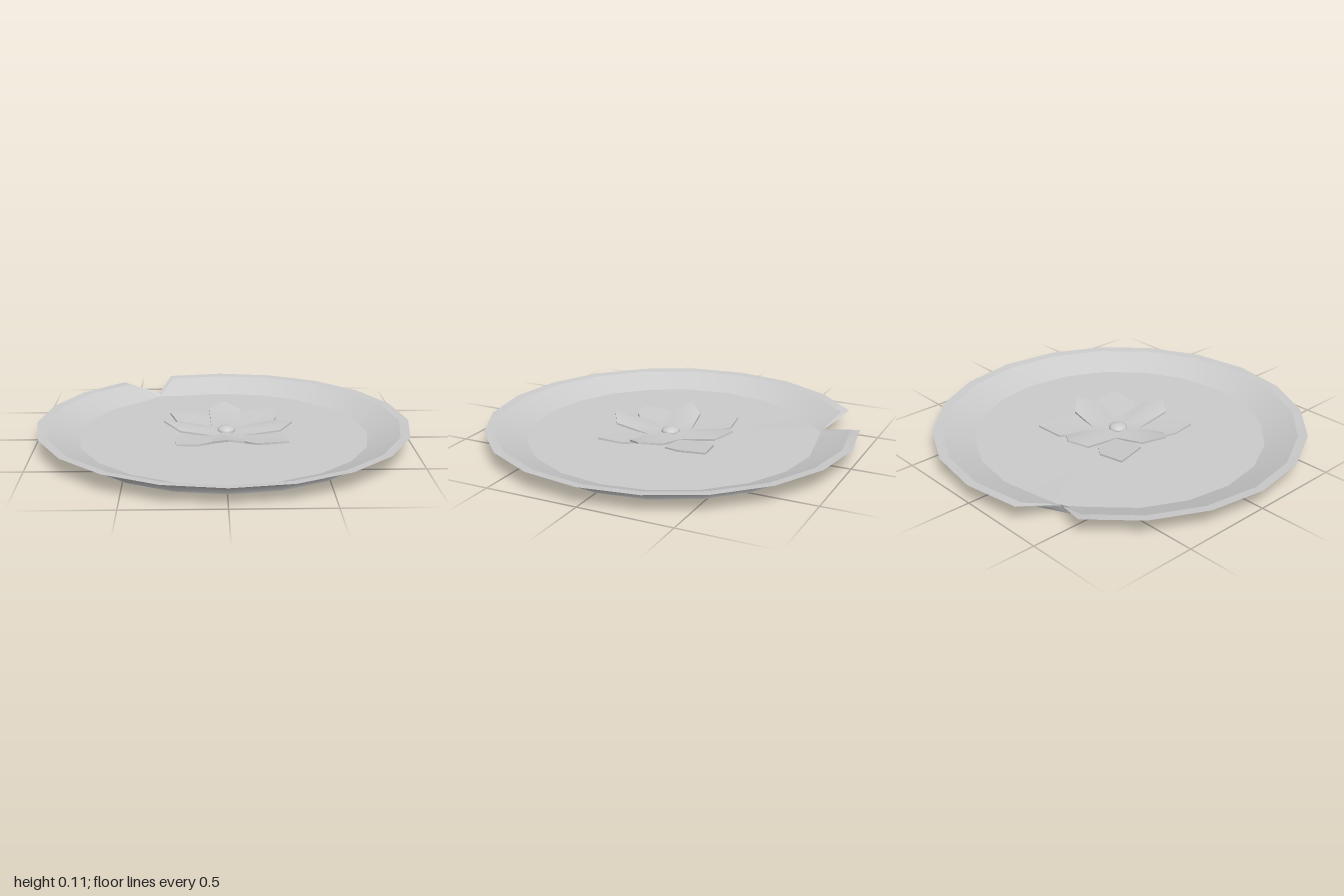
import * as THREE from 'three';
import { toCreasedNormals } from 'three/addons/utils/BufferGeometryUtils.js';

const SIDES = 20;
const CHIP = 13.5; // chip sits halfway along this edge of the rim

function makeMesh(name, positions, crease) {
  const geo = new THREE.BufferGeometry();
  geo.setAttribute('position', new THREE.Float32BufferAttribute(positions, 3));
  const mesh = new THREE.Mesh(
    toCreasedNormals(geo, crease),
    new THREE.MeshStandardMaterial({ color: 0xcccccc })
  );
  mesh.name = name;
  return mesh;
}

// Ring surface through rows of [radius, y, radius at chip, y at chip]
function ringSurface(name, rows, crease) {
  const steps = [];
  for (let i = 0; i < SIDES; i++) {
    steps.push(i);
    if (i === Math.floor(CHIP)) steps.push(CHIP);
  }
  const point = ([r, y, chipR, chipY], step) => {
    const a = (step / SIDES) * Math.PI * 2;
    const chipped = step === CHIP;
    const radius = chipped ? chipR : r;
    return [Math.cos(a) * radius, chipped ? chipY : y, Math.sin(a) * radius];
  };
  const out = [];
  for (let k = 0; k + 1 < rows.length; k++) {
    steps.forEach((s, i) => {
      const next = steps[(i + 1) % steps.length];
      const a = point(rows[k], s), b = point(rows[k], next);
      const c = point(rows[k + 1], s), d = point(rows[k + 1], next);
      if (rows[k][0] > 0) out.push(...a, ...b, ...c);
      if (rows[k + 1][0] > 0) out.push(...b, ...d, ...c);
    });
  }
  return makeMesh(name, out, crease);
}

// Thin closed leaf: a fan from the centre over an outline of [x, y, z],
// listed clockwise as seen from above
function leaf(name, centre, outline, thickness) {
  const out = [];
  const low = ([x, y, z]) => [x, y - thickness, z];
  outline.forEach((p, i) => {
    const q = outline[(i + 1) % outline.length];
    out.push(...centre, ...q, ...p);
    out.push(...low(centre), ...low(p), ...low(q));
    out.push(...p, ...q, ...low(p), ...q, ...low(q), ...low(p));
  });
  return makeMesh(name, out, 0.8);
}

export function createModel() {
  const model = new THREE.Group();

  // Dish: floor, sloping wall and narrow rim, then the underside, all notched at the chip
  const rimEdge = [1, 0.1, 0.823, 0.05];
  const rimInner = [0.95, 0.096, 0.808, 0.034];
  const floorEdge = [0.78, 0.03, 0.808, 0.034];
  model.add(ringSurface('dishFloor', [[0, 0.03, 0, 0.03], floorEdge], 0.3));
  model.add(ringSurface('dishWall', [floorEdge, rimInner], 0.4));
  model.add(ringSurface('dishRim', [rimInner, rimEdge], 0.4));
  model.add(ringSurface('dishUnderside', [
    rimEdge,
    [0.85, 0.042, 0.82, 0.038],
    [0.825, 0.012, 0.815, 0.012],
    [0.82, 0, 0.81, 0],
    [0, 0, 0, 0],
  ], 0.65));

  const flower = new THREE.Group();
  flower.name = 'flower';

  // Four pointed upper petals joined in one star
  const base = 0.048, shoulder = 0.078;
  flower.add(leaf('upperPetals', [0.015, 0.044, 0], [
    [-0.065, base, -0.085], [-0.075, shoulder, -0.295], [0.01, 0.105, -0.36], [0.1, shoulder, -0.295],
    [0.11, base, -0.095], [0.28, shoulder, -0.08], [0.37, 0.102, 0.015], [0.3, shoulder, 0.095],
    [0.11, base, 0.085], [0.1, shoulder, 0.285], [0.015, 0.106, 0.34], [-0.065, shoulder, 0.285],
    [-0.065, base, 0.085], [-0.23, shoulder, 0.1], [-0.32, 0.114, 0.03], [-0.235, shoulder, -0.06],
  ], 0.01));

  // Four blunt lower petals on the diagonals, outlined as [x, z]
  const lower = {
    backRightPetal: [[-0.235, -0.07], [-0.294, -0.262], [-0.15, -0.284], [-0.07, -0.22]],
    backLeftPetal: [[0.1, -0.235], [0.14, -0.31], [0.289, -0.327], [0.294, -0.18], [0.268, -0.09]],
    frontLeftPetal: [[0.285, 0.095], [0.321, 0.13], [0.332, 0.268], [0.166, 0.268], [0.112, 0.22]],
    frontRightPetal: [[-0.07, 0.225], [-0.14, 0.284], [-0.25, 0.294], [-0.257, 0.17], [-0.23, 0.1]],
  };
  const hub = [0.015, 0.034, 0];
  for (const [name, points] of Object.entries(lower)) {
    const outline = points.map(([x, z]) => [x, 0.034 + 0.09 * Math.hypot(x, z), z]);
    flower.add(leaf(name, hub, [hub, ...outline], 0.01));
  }

  // Domed flower centre
  const dome = new THREE.Mesh(
    new THREE.SphereGeometry(0.05, 20, 12),
    new THREE.MeshStandardMaterial({ color: 0xcccccc })
  );
  dome.name = 'flowerCentre';
  dome.scale.y = 0.5;
  dome.position.set(0.015, 0.05, 0);
  flower.add(dome);

  model.add(flower);
  return model;
}
